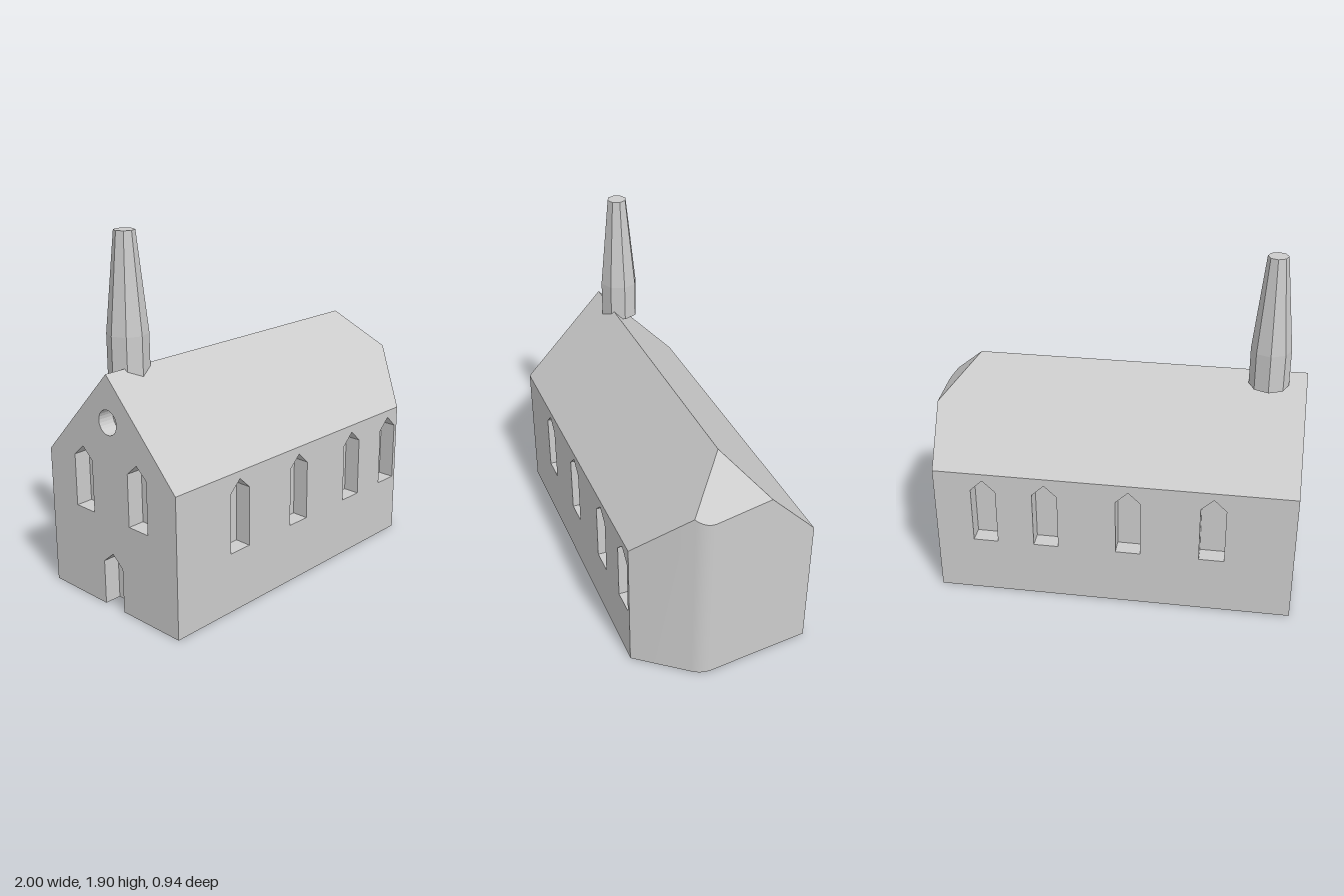
import * as THREE from 'three';
import { toCreasedNormals } from 'three/addons/utils/BufferGeometryUtils.js';

const HALF = 0.468, EAVE = 0.75, RIDGE = 1.245, HIP_X = 0.76, DEPTH = 0.09;
const SLOPE = (RIDGE - EAVE) / HALF;
const stone = new THREE.MeshStandardMaterial({ color: 0xcccccc });
stone.name = 'pale grey stone';

// Height of the roof above a plan point, including the hipped east end
const roofY = (x, z) => RIDGE - SLOPE * Math.max(Math.abs(z), x - HIP_X);

const toShape = (pts) => new THREE.Shape(pts.map(([x, y]) => new THREE.Vector2(x, y)));

function addMesh(parent, name, geometry) {
  const mesh = new THREE.Mesh(geometry, stone);
  mesh.name = name;
  parent.add(mesh);
  return mesh;
}

// Planar polygons, each split into a fan of triangles
function polygons(list) {
  const pos = [];
  for (const p of list)
    for (let i = 1; i < p.length - 1; i++) pos.push(...p[0], ...p[i], ...p[i + 1]);
  const g = new THREE.BufferGeometry();
  g.setAttribute('position', new THREE.Float32BufferAttribute(pos, 3));
  g.computeVertexNormals();
  return g;
}

// Opening with a pointed head
const pointed = (c, bottom, shoulder, tip, w = 0.135) => [
  [c - w / 2, bottom], [c + w / 2, bottom], [c + w / 2, shoulder], [c, tip], [c - w / 2, shoulder],
];

// Thick wall cut by openings, with a recessed pane behind each one
function wall(name, outline, holes, panes, angle, distance) {
  const group = new THREE.Group();
  group.name = name;
  const shape = toShape(outline);
  holes.forEach((h) => shape.holes.push(toShape(h)));
  addMesh(group, name + 'Face', new THREE.ExtrudeGeometry(shape, { depth: DEPTH, bevelEnabled: false }));
  panes.forEach((p) => addMesh(group, 'recessedPane', new THREE.ShapeGeometry(toShape(p))));
  group.rotation.y = angle;
  group.position.set(Math.sin(angle), 0, Math.cos(angle)).multiplyScalar(distance - DEPTH);
  return group;
}

export function createModel() {
  const model = new THREE.Group();
  model.name = 'chapel';

  // Side walls with four windows each
  const windowX = [-0.565, -0.115, 0.335, 0.67];
  const box = (a, b) => [[a, 0], [b, 0], [b, EAVE], [a, EAVE]];
  const front = windowX.map((x) => pointed(x, 0.325, 0.645, 0.71));
  const back = windowX.map((x) => pointed(-x, 0.325, 0.645, 0.71));
  model.add(wall('frontWall', box(-1, HIP_X), front, front, 0, HALF));
  model.add(wall('backWall', box(-0.94, 1), back, back, Math.PI, HALF));

  // Gable wall with a door, two windows and a round opening
  const door = [[-0.07, 0], [-0.07, 0.24], [0, 0.3], [0.07, 0.24], [0.07, 0]];
  const round = new THREE.Path().absarc(0, 1.0, 0.065, 0, Math.PI * 2).getSpacedPoints(24)
    .slice(0, 24).map((p) => [p.x, p.y]);
  const gableHoles = [-0.2, 0.2].map((z) => pointed(z, 0.49, 0.77, 0.83));
  gableHoles.push(round);
  const gable = [[-HALF, 0], ...door, [HALF, 0], [HALF, EAVE], [0, RIDGE], [-HALF, EAVE]];
  model.add(wall('gableWall', gable, gableHoles, [...gableHoles, door], -Math.PI / 2, 1));

  // Plan of the east end: a slanted wall, a rounded corner and a nearly straight wall
  const corner = new THREE.QuadraticBezierCurve(
    new THREE.Vector2(0.965, 0.205), new THREE.Vector2(1.004, 0.155), new THREE.Vector2(0.995, 0.09));
  const bend = corner.getPoints(8).map((p) => [p.x, p.y]);
  const hipEdge = [...bend, [0.965, -0.205]];
  const plan = [[HIP_X, HALF], ...hipEdge, [0.94, -HALF]];
  const top = ([x, z]) => [x, roofY(x, z), z];
  const base = ([x, z]) => [x, 0, z];
  const apse = [];
  for (let i = 0; i < plan.length - 1; i++) {
    const a = plan[i], b = plan[i + 1];
    apse.push([base(a), base(b), top(b), top(a)]);
  }
  addMesh(model, 'eastWall', toCreasedNormals(polygons(apse), 0.5));

  // Roof slopes and hip
  const ridge = [[HIP_X, RIDGE, 0], [-1, RIDGE, 0]];
  const hipFront = top(hipEdge[0]), hipBack = top(hipEdge[hipEdge.length - 1]);
  addMesh(model, 'frontRoof', polygons([
    [[-1, EAVE, HALF], [HIP_X, EAVE, HALF], hipFront, ...ridge]]));
  addMesh(model, 'backRoof', polygons([
    [[-1, EAVE, -HALF], ridge[1], ridge[0], hipBack, [0.94, EAVE, -HALF]]]));
  addMesh(model, 'hipRoof', polygons([[ridge[0], ...hipEdge.map(top)]]));

  // Underside, notched at the doorway
  const notch = [[-1, -HALF], [-1, -0.07], [DEPTH - 1, -0.07], [DEPTH - 1, 0.07], [-1, 0.07], [-1, HALF]];
  addMesh(model, 'floor', new THREE.ShapeGeometry(toShape([...notch, ...plan])).rotateX(Math.PI / 2));

  // Eight-sided steeple: straight shaft below a tapering top
  const steeple = new THREE.Group();
  steeple.name = 'steeple';
  steeple.position.set(-0.8, 0, -0.06);
  const profile = [[0, 1.195], [0.105, 1.195], [0.105, 1.4], [0.053, 1.905], [0, 1.905]]
    .map(([r, y]) => new THREE.Vector2(r, y));
  addMesh(steeple, 'steepleShaft', toCreasedNormals(new THREE.LatheGeometry(profile, 8), 0.05));
  model.add(steeple);

  return model;
}
